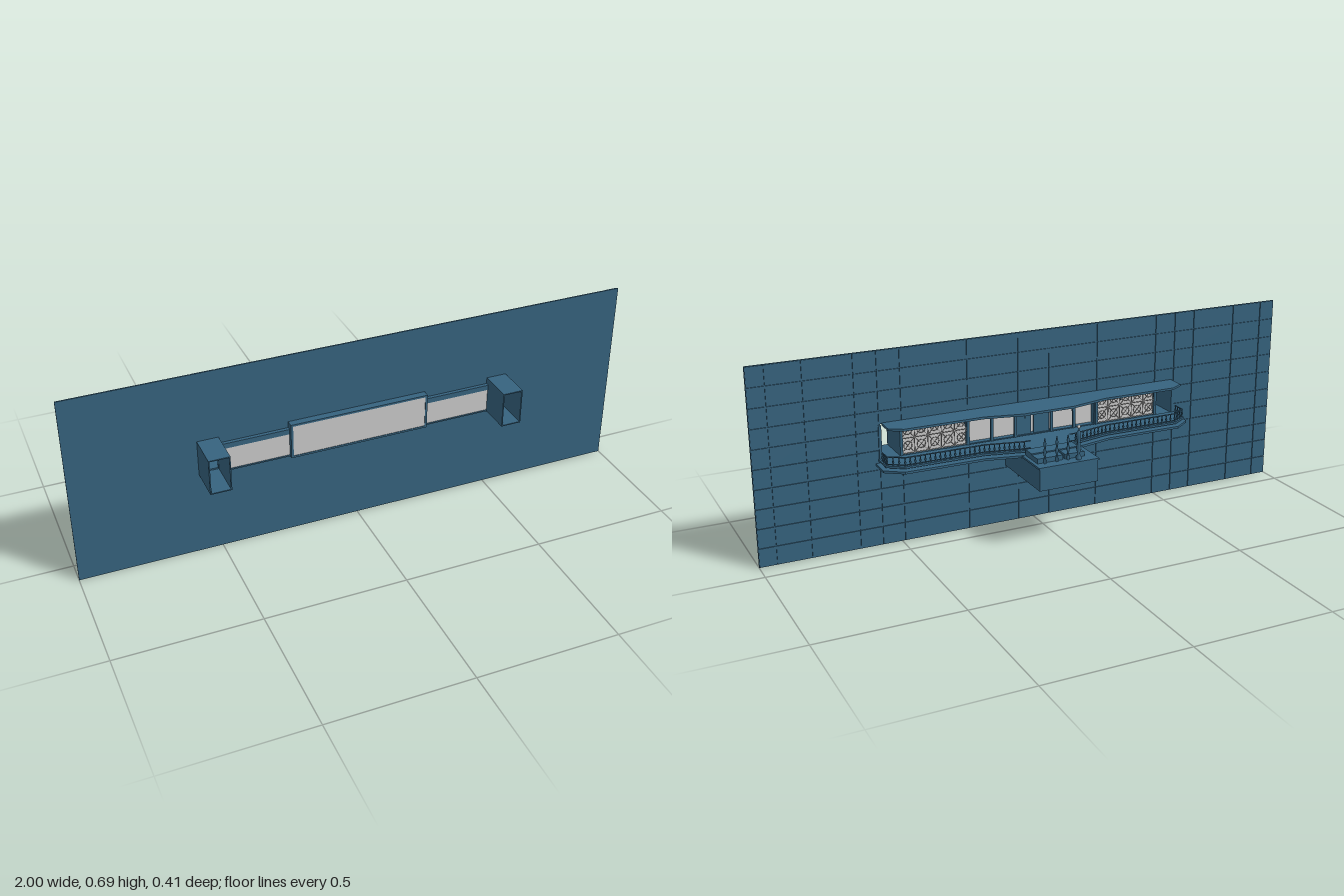
import * as THREE from 'three';

const blue = new THREE.MeshStandardMaterial({ color: 0x36637f });
const grey = new THREE.MeshStandardMaterial({ color: 0xcccccc });

export function createModel() {
  const model = new THREE.Group();
  const add = (name, geo, mat = blue, parent = model) => {
    const m = new THREE.Mesh(geo, mat);
    m.name = name;
    parent.add(m);
    return m;
  };
  // box given by its two corners
  const box = (name, x0, x1, y0, y1, z0, z1, mat, parent) =>
    add(name, new THREE.BoxGeometry(x1 - x0, y1 - y0, z1 - z0), mat, parent)
      .position.set((x0 + x1) / 2, (y0 + y1) / 2, (z0 + z1) / 2);
  const bar = (name, a, b, r, mat, parent) => {
    const d = b.clone().sub(a);
    const m = add(name, new THREE.CylinderGeometry(r, r, d.length(), 6), mat, parent);
    m.position.copy(a).add(b).multiplyScalar(0.5);
    m.quaternion.setFromUnitVectors(new THREE.Vector3(0, 1, 0), d.normalize());
  };
  const lathe = (pts, n) => new THREE.LatheGeometry(pts.map(p => new THREE.Vector2(...p)), n);
  const rectHole = (x0, x1, y0, y1) => new THREE.Path([[x0, y0], [x1, y0], [x1, y1], [x0, y1]]
    .map(p => new THREE.Vector2(...p)));

  // wall sheet with passage, window and centre openings
  const holes = [[-0.25, 0.25, 0.312, 0.435]];
  for (const s of [-1, 1]) {
    holes.push([s * 0.53 - 0.033, s * 0.53 + 0.033, 0.312, 0.435]);
    holes.push([s * 0.373 - 0.117, s * 0.373 + 0.117, 0.315, 0.41]);
  }
  const wall = new THREE.Shape([[-1, 0], [1, 0], [1, 0.69], [-1, 0.69]].map(p => new THREE.Vector2(...p)));
  for (const h of holes) wall.holes.push(rectHole(...h));
  add('wall', new THREE.ExtrudeGeometry(wall, { depth: 0.004, bevelEnabled: false })).position.z = 0.078;

  // wall cladding at the back, separated by grooves
  const cladding = new THREE.Group();
  cladding.name = 'wallCladding';
  model.add(cladding);
  const half = [0.06, 0.25, 0.49, 0.57, 0.65, 0.82, 0.94, 1];
  const cuts = [...half.map(v => -v).reverse(), ...half];
  const g = 0.0015, rows = 10, rowH = 0.069;
  for (let i = 0; i < cuts.length - 1; i++) for (let j = 0; j < rows; j++) {
    const x0 = cuts[i] + g, x1 = cuts[i + 1] - g;
    const inner = Math.abs(x0 + x1) / 2 < 0.57;
    const y0 = j * rowH + g, y1 = (j + 1) * rowH - g;
    // leave the openings free
    const parts = inner ? [[y0, Math.min(y1, 0.31)], [Math.max(y0, 0.437), y1]] : [[y0, y1]];
    for (const [a, b] of parts) if (b > a) box('claddingPanel', x0, x1, a, b, 0.0745, 0.078, blue, cladding);
  }

  // outline of the terrace, grown or shrunk by d
  const outline = d => {
    const r = [[0.575 + d, 0.073], [0.575 + d, 0.002 - d * 0.4], [0.52 + d * 0.4, -0.035 - d],
      [0.235 + d * 0.3, -0.035 - d], [0.1 + d * 0.3, -0.065 - d]];
    return [...r, ...r.map(([x, z]) => [-x, z]).reverse()];
  };
  const slab = (name, d, y0, y1) => {
    const s = new THREE.Shape(outline(d).map(([x, z]) => new THREE.Vector2(x, -z)));
    const geo = new THREE.ExtrudeGeometry(s, { depth: y1 - y0, bevelEnabled: false });
    geo.rotateX(-Math.PI / 2);
    add(name, geo).position.y = y0;
  };
  slab('roof', -0.015, 0.432, 0.44);
  slab('terraceFloor', 0, 0.307, 0.314);
  slab('lowerSlab', 0.01, 0.292, 0.3);

  // front passages: open tubes with solid sides
  for (const s of [-1, 1]) {
    const tube = new THREE.Shape([[-0.037, 0.308], [0.037, 0.308], [0.037, 0.438], [-0.037, 0.438]]
      .map(p => new THREE.Vector2(...p)));
    tube.holes.push(rectHole(-0.033, 0.033, 0.312, 0.434));
    add('sidePassage', new THREE.ExtrudeGeometry(tube, { depth: 0.127, bevelEnabled: false }))
      .position.set(s * 0.53, 0, 0.079);

    // window niche with grey back board and blue hood
    const a = Math.min(s * 0.25, s * 0.493), b = Math.max(s * 0.25, s * 0.493);
    box('nicheBoard', a, b, 0.312, 0.396, 0.088, 0.092, grey);
    box('nicheHood', a, b, 0.396, 0.415, 0.079, 0.095);
    box('nicheSill', a, b, 0.308, 0.313, 0.079, 0.095);

    // ornamental window lattice facing the terrace
    const lattice = new THREE.Group();
    lattice.name = 'windowLattice';
    model.add(lattice);
    const n = 5, w = (b - a) / n, z = 0.075, y0 = 0.318, y1 = 0.426, ym = (y0 + y1) / 2;
    const V = (x, y) => new THREE.Vector3(x, y, z);
    for (let i = 0; i <= n; i++) bar('mullion', V(a + i * w, y0), V(a + i * w, y1), 0.0015, grey, lattice);
    for (const y of [y0, ym, y1]) bar('transom', V(a, y), V(b, y), 0.0015, grey, lattice);
    for (let i = 0; i < n; i++) for (const y of [y0, ym]) {
      const h = ym - y0, x = a + i * w;
      bar('diagonal', V(x, y), V(x + w, y + h), 0.001, grey, lattice);
      bar('diagonal', V(x + w, y), V(x, y + h), 0.001, grey, lattice);
      add('latticeRing', new THREE.TorusGeometry(0.015, 0.0013, 5, 14), grey, lattice)
        .position.set(x + w / 2, y + h / 2, z);
    }
    // columns between the bays
    for (const x of [0.07, 0.16, 0.25, 0.493, 0.567])
      box('column', s * x - 0.005, s * x + 0.005, 0.314, 0.432, 0.07, 0.079);
    box('doorLeaf', s * 0.035 - 0.03, s * 0.035 + 0.03, 0.314, 0.415, 0.083, 0.087);
  }

  // projecting centre bay with framed grey board
  box('centreBoard', -0.243, 0.243, 0.314, 0.432, 0.1, 0.106, grey);
  box('centreFrameTop', -0.25, 0.25, 0.431, 0.438, 0.079, 0.108);
  box('centreFrameBottom', -0.25, 0.25, 0.308, 0.315, 0.079, 0.108);
  for (const s of [-1, 1]) box('centreFrameSide', s * 0.247 - 0.004, s * 0.247 + 0.004, 0.308, 0.438, 0.079, 0.108);

  // railing along the terrace edge, open in the middle
  const railing = new THREE.Group();
  railing.name = 'railing';
  model.add(railing);
  const baluster = lathe([[0.003, 0], [0.0015, 0.006], [0.0042, 0.013], [0.0015, 0.021], [0.003, 0.03]], 6);
  for (const s of [-1, 1]) {
    const path = outline(-0.006).slice(0, 5).map(([x, z], i) => [s * x, i ? z : 0.05]);
    path.push([s * 0.075, path[4][1]]);
    for (let i = 0; i < path.length - 1; i++) {
      const [x0, z0] = path[i], [x1, z1] = path[i + 1];
      for (const [y, r] of [[0.344, 0.0022], [0.318, 0.0015]])
        bar('handrail', new THREE.Vector3(x0, y, z0), new THREE.Vector3(x1, y, z1), r, blue, railing);
      const n = Math.max(1, Math.round(Math.hypot(x1 - x0, z1 - z0) / 0.018));
      for (let k = 0; k < n; k++)
        add('baluster', baluster, blue, railing)
          .position.set(x0 + (x1 - x0) * k / n, 0.314, z0 + (z1 - z0) * k / n);
    }
    // small lamps under the roof
    for (const [x, z] of [[0.545, 0.033], [0.3, -0.015], [0.09, -0.048]])
      add('lamp', new THREE.CylinderGeometry(0.002, 0.002, 0.01, 8)).position.set(s * x, 0.428, z);
  }

  // projecting block with cap and raised platforms
  box('balconyBlock', -0.11, 0.11, 0.215, 0.293, -0.203, 0.077);
  box('balconyCap', -0.113, 0.113, 0.292, 0.299, -0.206, -0.06);
  box('platform', -0.077, -0.004, 0.299, 0.316, -0.165, -0.07);
  box('platform', 0.004, 0.1, 0.299, 0.316, -0.165, -0.07);
  box('platformStep', -0.077, 0.1, 0.316, 0.32, -0.12, -0.07);

  // turned ornaments at the rear edge
  const tall = lathe([[0.009, 0], [0.01, 0.008], [0.004, 0.02], [0.009, 0.04], [0.005, 0.06],
    [0.008, 0.08], [0.008, 0.095], [0.002, 0.105], [0.002, 0.113]], 12);
  add('tallOrnament', tall).position.set(-0.045, 0.299, -0.184);
  add('ornamentBall', new THREE.SphereGeometry(0.006, 12, 8), grey).position.set(-0.045, 0.415, -0.184);
  const short = lathe([[0.005, 0], [0.005, 0.01], [0.003, 0.02], [0.0055, 0.04], [0.003, 0.055],
    [0.005, 0.07], [0.001, 0.09]], 10);
  for (const x of [-0.012, 0.03, 0.075]) add('shortOrnament', short).position.set(x, 0.299, -0.17);
  return model;
}
